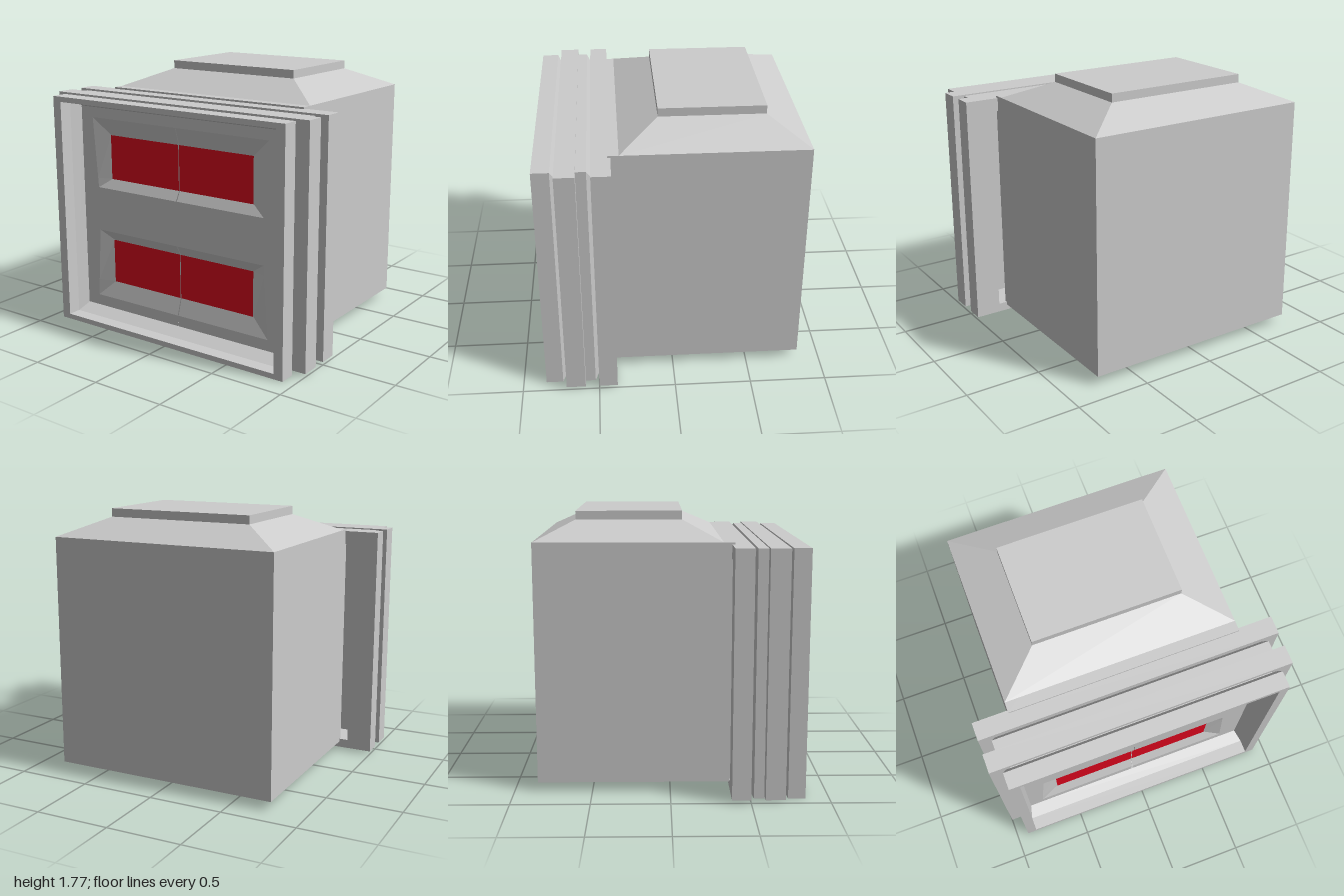
import * as THREE from 'three';

const grey = new THREE.MeshStandardMaterial({ color: 0xcccccc, flatShading: true, side: THREE.DoubleSide });
const red = new THREE.MeshStandardMaterial({ color: 0xe0061e, side: THREE.DoubleSide });

function add(group, name, geometry, material = grey) {
  const mesh = new THREE.Mesh(geometry, material);
  mesh.name = name;
  group.add(mesh);
  return mesh;
}

function box(x0, x1, y0, y1, z0, z1) {
  return new THREE.BoxGeometry(x1 - x0, y1 - y0, z1 - z0)
    .translate((x0 + x1) / 2, (y0 + y1) / 2, (z0 + z1) / 2);
}

function fromQuads(quads) {
  const pos = [];
  for (const [a, b, c, d] of quads) pos.push(...a, ...b, ...c, ...a, ...c, ...d);
  const g = new THREE.BufferGeometry();
  g.setAttribute('position', new THREE.Float32BufferAttribute(pos, 3));
  g.computeVertexNormals();
  return g;
}

// Closed rectangular ring: sections [halfWidth, bottom, top, z], outside front to back, then inside back to front
function ring(sections) {
  const loops = sections.map(([w, y0, y1, z]) => [[w, y0, z], [w, y1, z], [-w, y1, z], [-w, y0, z]]);
  const quads = [];
  loops.forEach((a, k) => {
    const b = loops[(k + 1) % loops.length];
    for (let i = 0; i < 4; i++) {
      const j = (i + 1) % 4;
      quads.push([a[i], b[i], b[j], a[j]]);
    }
  });
  return fromQuads(quads);
}

// One door leaf: rows of [y, z, pocket inner offset, pocket outer offset] from the centre seam
const SEAM = -0.0175, FACE = 0.675, DEEP = 0.64;
const rows = [
  [0.08, FACE, 0.715, 0.715], [0.155, FACE, 0.715, 0.715],
  [0.27, DEEP, 0.583, 0.707], [0.575, DEEP, 0.583, 0.685],
  [0.64, FACE, 0.68, 0.68], [0.945, FACE, 0.68, 0.68],
  [1.01, DEEP, 0.583, 0.685], [1.315, DEEP, 0.583, 0.707],
  [1.43, FACE, 0.715, 0.715], [1.50, FACE, 0.715, 0.715],
];
function doorLeaf(side) {
  const grid = rows.map(([y, z, inner, outer]) => [
    [SEAM + side * 0.003, y, z], [SEAM + side * inner, y, z],
    [SEAM + side * outer, y, FACE], [side * 0.835, y, FACE],
  ]);
  const quads = [];
  for (let r = 0; r < grid.length - 1; r++) {
    for (let c = 0; c < 3; c++) {
      const q = [grid[r][c], grid[r][c + 1], grid[r + 1][c + 1], grid[r + 1][c]];
      quads.push(side > 0 ? q : q.reverse());
    }
  }
  return fromQuads(quads);
}

export function createModel() {
  const model = new THREE.Group();
  model.name = 'hatchModule';

  // Main body and hipped roof
  add(model, 'body', box(-0.77, 0.77, 0.06, 1.6, -0.85, 0.4));
  const roof = box(-0.77, 0.77, 1.6, 1.72, -0.85, 0.33);
  const p = roof.attributes.position;
  for (let i = 0; i < p.count; i++) {
    if (p.getY(i) > 1.7) {
      p.setX(i, Math.sign(p.getX(i)) * 0.495);
      p.setZ(i, p.getZ(i) > 0 ? 0.08 : -0.6);
    }
  }
  roof.computeVertexNormals();
  add(model, 'roof', roof);
  add(model, 'roofCap', box(-0.495, 0.495, 1.72, 1.775, -0.6, 0.08));

  // Two wide flanges
  const flange = (name, back, front, hole) => add(model, name, ring([
    [1, 0.02, 1.588, front], [1, 0.02, 1.588, back], [...hole, back], [...hole, front],
  ]));
  flange('rearFlange', 0.38, 0.5, [0.83, 0.08, 1.5]);
  flange('frontFlange', 0.59, 0.715, [0.87, 0.025, 1.555]);

  // Chamfered neck between the flanges
  add(model, 'neck', ring([
    [0.92, 0, 1.58, 0.635], [0.92, 0, 1.58, 0.525], [0.895, 0.045, 1.535, 0.5],
    [0.83, 0.08, 1.5, 0.5], [0.83, 0.08, 1.5, 0.635],
  ]));

  // Front frame with a bevelled opening
  add(model, 'frontFrame', ring([
    [0.92, 0, 1.58, 0.85], [0.92, 0, 1.58, 0.74], [0.895, 0.045, 1.535, 0.715],
    [0.87, 0.045, 1.535, 0.67], [0.83, 0.08, 1.5, 0.67],
    [0.855, 0.035, 1.545, 0.76], [0.855, 0.035, 1.545, 0.85],
  ]));

  // Door leaves with red panels in their pockets
  for (const [side, label] of [[1, 'left'], [-1, 'right']]) {
    add(model, label + 'Door', doorLeaf(side));
    for (const [y, level] of [[0.4225, 'Lower'], [1.1625, 'Upper']]) {
      add(model, label + level + 'Panel', new THREE.PlaneGeometry(0.58, 0.305), red)
        .position.set(SEAM + side * 0.293, y, DEEP + 0.003);
    }
  }
  add(model, 'doorBacking', box(-0.83, 0.83, 0.08, 1.5, 0.6, 0.62));

  return model;
}
